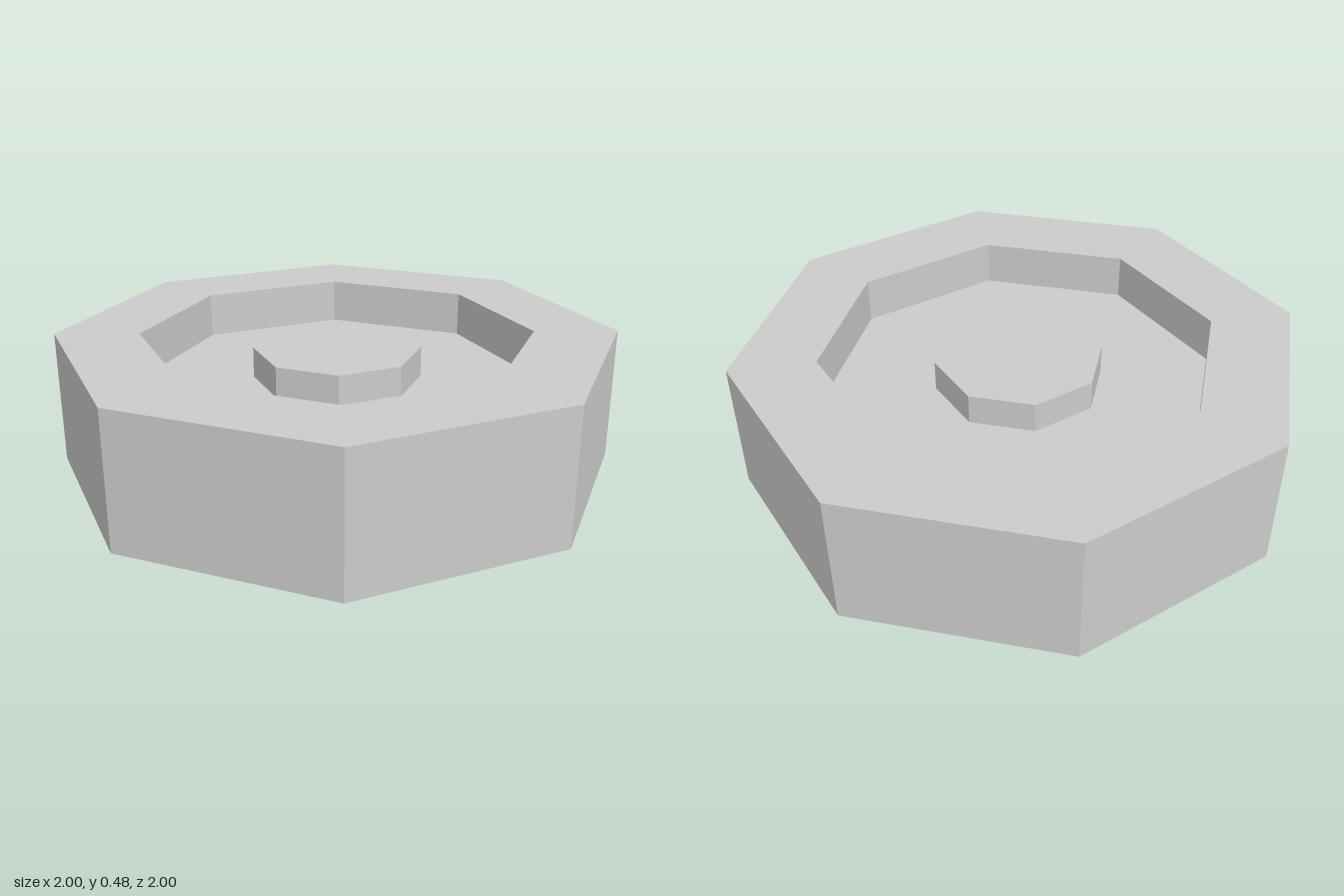
import * as THREE from 'three';

const SIDES = 8;
const HEIGHT = 0.48;
const RIM = 0.7;      // inner radius of the tyre
const HUB = 0.3;      // hub radius
const RECESS = 0.165; // depth of the recess on each face
const HUB_TOP = 0.055; // hub cap distance below the tyre face

// Lathe a half profile (mid-height to top, or axis to rim) mirrored about mid-height
function octagonalPart(name, lowerHalf, material) {
  const upperHalf = lowerHalf.map(([r, y]) => [r, HEIGHT - y]).reverse();
  const points = [...lowerHalf, ...upperHalf].map(([r, y]) => new THREE.Vector2(r, y));
  const mesh = new THREE.Mesh(new THREE.LatheGeometry(points, SIDES), material);
  mesh.name = name;
  return mesh;
}

export function createModel() {
  const group = new THREE.Group();
  group.name = 'wheel';
  const material = new THREE.MeshStandardMaterial({ color: 0xcccccc, flatShading: true });

  // Thick outer ring, open where the disc meets it
  group.add(octagonalPart('tyre', [[RIM, RECESS], [RIM, 0], [1, 0]], material));

  // Recessed disc with a raised hub on both faces
  group.add(octagonalPart('discAndHub', [[0, HUB_TOP], [HUB, HUB_TOP], [HUB, RECESS], [RIM, RECESS]], material));

  return group;
}
